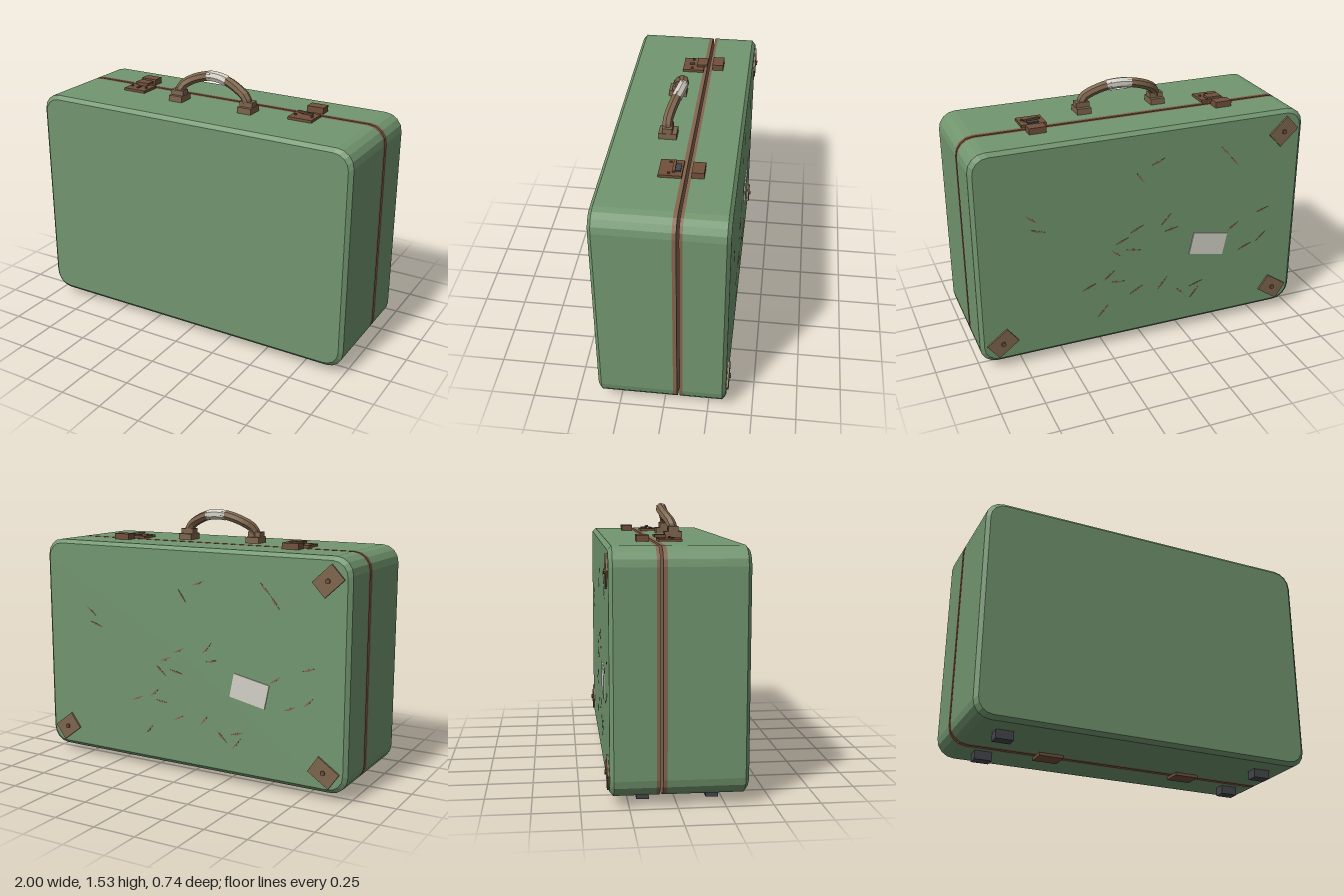
import * as THREE from 'three';

const mat = (name, color) => {
  const m = new THREE.MeshStandardMaterial({ color, flatShading: true });
  m.name = name;
  return m;
};

export function createModel() {
  const root = new THREE.Group();
  root.name = 'suitcase';
  const green = mat('green shell', 0x72966f);
  const trimBrown = mat('trim brown', 0x84664f);
  const leather = mat('handle leather', 0x7d654c);
  const metal = mat('rusty metal', 0x70503a);
  const rubber = mat('dark rubber', 0x45464a);
  const paper = mat('pale tape', 0xd2d0c6);

  const add = (name, geometry, material, x = 0, y = 0, z = 0, parent = root) => {
    const mesh = new THREE.Mesh(geometry, material);
    mesh.name = name;
    mesh.position.set(x, y, z);
    parent.add(mesh);
    return mesh;
  };
  const box = (name, w, h, d, material, x, y, z, parent) =>
    add(name, new THREE.BoxGeometry(w, h, d), material, x, y, z, parent);

  // Rounded rectangle outline, counter-clockwise seen from the front
  const outline = (inset) => {
    const pts = [], r = 0.1 - inset * 0.6, n = 4;
    const w = 1 - inset - r, h = 0.645 - inset - r;
    [[1, 1], [-1, 1], [-1, -1], [1, -1]].forEach(([sx, sy], c) => {
      for (let i = 0; i <= n; i++) {
        const a = (c + i / n) * Math.PI / 2;
        pts.push([sx * w + r * Math.cos(a), 0.695 + sy * h + r * Math.sin(a)]);
      }
    });
    return pts;
  };
  // Closed solid through rings [z, inset], listed front to back
  const loft = (rings) => {
    const pos = [];
    const loops = rings.map(([z, inset]) => outline(inset).map(([x, y]) => [x, y, z]));
    const n = loops[0].length;
    const first = rings[0][0], last = rings[rings.length - 1][0];
    for (let i = 0; i < n; i++) {
      const j = (i + 1) % n;
      for (let k = 0; k + 1 < loops.length; k++) {
        const a = loops[k], b = loops[k + 1];
        pos.push(...a[i], ...b[i], ...b[j], ...a[i], ...b[j], ...a[j]);
      }
      const f = loops[0], e = loops[loops.length - 1];
      pos.push(0, 0.695, first, ...f[i], ...f[j], 0, 0.695, last, ...e[j], ...e[i]);
    }
    const g = new THREE.BufferGeometry();
    g.setAttribute('position', new THREE.Float32BufferAttribute(pos, 3));
    g.computeVertexNormals();
    return g;
  };

  // Two shells and the trim on either side of the seam
  add('frontShell', loft([[0.37, 0.022], [0.35, 0], [-0.056, 0]]), green);
  add('frontTrim', loft([[-0.056, 0], [-0.078, 0]]), trimBrown);
  add('backTrim', loft([[-0.092, 0], [-0.11, 0]]), trimBrown);
  add('backShell', loft([[-0.11, 0], [-0.33, 0], [-0.35, 0.022]]), green);

  // Feet and bottom hinges
  for (const s of [-1, 1]) {
    for (const z of [0.2, -0.17]) box('foot', 0.1, 0.055, 0.066, rubber, s * 0.785, 0.0275, z);
    box('hinge', 0.145, 0.018, 0.11, metal, s * 0.427, 0.042, -0.077);
  }

  // Handle: a leaning arch with a taped grip
  const arch = new THREE.CatmullRomCurve3([
    [-0.228, 1.385, 0.062], [-0.215, 1.425, 0.05], [-0.165, 1.462, 0.025], [-0.08, 1.492, 0.012],
    [0, 1.5, 0.02], [0.08, 1.49, 0.035], [0.165, 1.458, 0.055], [0.215, 1.425, 0.066], [0.228, 1.385, 0.064],
  ].map((p) => new THREE.Vector3(...p)));
  const pts = arch.getSpacedPoints(20);
  const grip = (name, from, to, radius, material) => add(name,
    new THREE.TubeGeometry(new THREE.CatmullRomCurve3(pts.slice(from, to + 1)), to - from, radius, 7), material);
  grip('handleRight', 0, 9, 0.029, leather);
  grip('handleTape', 8, 13, 0.031, paper);
  grip('handleLeft', 12, 20, 0.029, leather);
  for (const s of [-1, 1]) {
    box('handleMount', 0.085, 0.04, 0.1, leather, s * 0.228, 1.355, 0.06);
    box('handleSocket', 0.08, 0.035, 0.055, leather, s * 0.228, 1.387, 0.062);
  }

  // Latches: base plate, rivets, flap and catch
  for (const s of [-1, 1]) {
    const latch = new THREE.Group();
    latch.name = s > 0 ? 'leftLatch' : 'rightLatch';
    latch.position.set(s * 0.55, 1.34, 0);
    root.add(latch);
    box('latchPlate', 0.145, 0.018, 0.125, metal, 0, 0.006, 0.002, latch);
    box('catch', 0.1, 0.035, 0.066, metal, s * 0.013, 0.018, -0.144, latch);
    for (const e of [-1, 1]) {
      add('rivet', new THREE.CylinderGeometry(0.008, 0.008, 0.008, 8), metal, e * 0.05, 0.018, 0.01, latch);
    }
    if (s < 0) {
      box('flap', 0.087, 0.014, 0.062, metal, 0, 0.029, -0.05, latch);
      box('flapPivot', 0.06, 0.012, 0.035, metal, 0, 0.018, -0.04, latch);
      box('keySlot', 0.017, 0.006, 0.03, rubber, 0, 0.017, 0.015, latch);
    } else {
      box('lockRecess', 0.065, 0.008, 0.03, rubber, 0, 0.018, -0.036, latch);
      box('lever', 0.09, 0.01, 0.015, metal, 0, 0.026, -0.015, latch).rotation.z = -0.1;
    }
  }

  // Corner plates on three back corners, each pointing at its corner
  for (const [x, y, a] of [[-0.872, 1.21, -0.75], [-0.867, 0.165, 0.6], [0.87, 0.17, -0.65]]) {
    box('cornerPlate', 0.15, 0.11, 0.013, leather, x, y, -0.3545).rotation.z = a;
    add('cornerRivet', new THREE.CylinderGeometry(0.014, 0.014, 0.012, 8), metal, x, y, -0.364).rotation.x = Math.PI / 2;
  }

  // Paper label
  box('label', 0.225, 0.14, 0.008, paper, -0.41, 0.56, -0.352).rotation.z = 0.2;

  // Scratches on the back: thin slivers at x, y, angle
  const scratch = new THREE.Shape([[-0.045, 0.002], [0.005, -0.006], [0.045, 0.003], [0, 0.006]]
    .map((p) => new THREE.Vector2(...p)));
  const sliver = new THREE.ExtrudeGeometry(scratch, { depth: 0.003, bevelEnabled: false });
  [
    [0.675, 0.92, 0.7], [0.64, 0.84, 0.3], [0.03, 1.06, 0.95], [-0.08, 1.14, -0.4], [-0.5, 1.14, 0.8],
    [-0.56, 1.07, 0.9], [0.05, 0.74, -0.45], [0.14, 0.68, -0.4], [-0.135, 0.77, -0.85], [-0.17, 0.7, -0.2],
    [0.18, 0.61, 0.7], [0.07, 0.61, 0.2], [0.34, 0.42, -0.4], [0.22, 0.47, -0.7], [0.17, 0.42, 0.1],
    [0.26, 0.24, -0.85], [0.05, 0.34, -0.5], [-0.12, 0.35, -0.9], [-0.23, 0.27, 0.75], [-0.34, 0.3, -0.3],
    [-0.33, 0.24, -0.9], [-0.57, 0.64, -0.6], [-0.77, 0.72, -0.3], [-0.77, 0.54, -0.75], [-0.66, 0.49, -0.4],
  ].forEach(([x, y, a]) => { add('scratch', sliver, trimBrown, x, y, -0.352).rotation.z = a; });

  return root;
}
